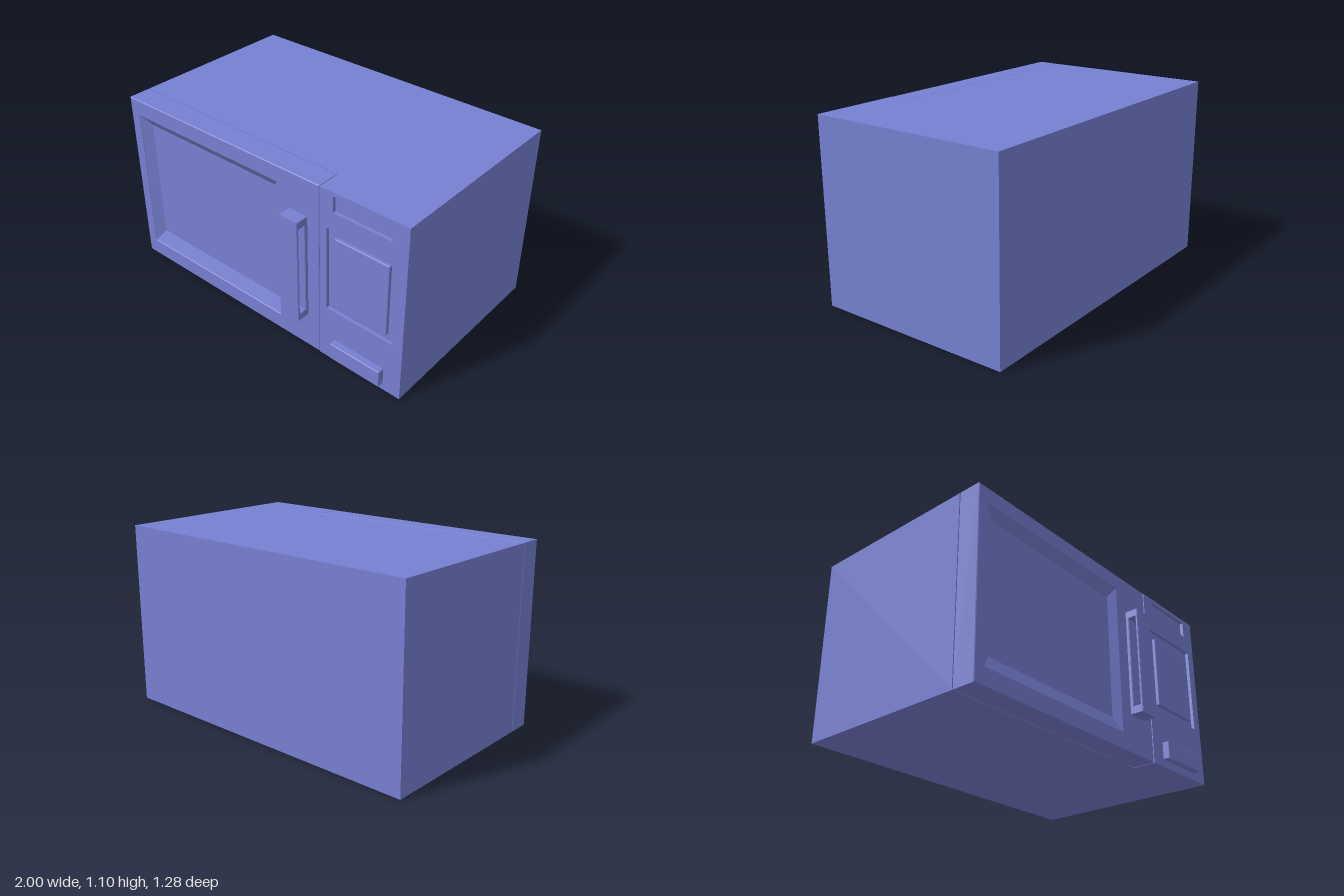
import * as THREE from 'three';
import { RoundedBoxGeometry } from 'three/addons/geometries/RoundedBoxGeometry.js';

const HEIGHT = 1.1, BACK = -0.64, FRONT = 0.56;
const DOOR_BACK = 0.42, DOOR_EDGE = 0.45;

// Rectangle corners, counter-clockwise
const corners = (x0, x1, y0, y1) => [[x0, y0], [x1, y0], [x1, y1], [x0, y1]]
  .map(([x, y]) => new THREE.Vector2(x, y));

// Rectangular plate with rectangular holes, from z0 to z1
function plate(outer, holes, z0, z1, bevel = 0) {
  const shape = new THREE.Shape(corners(...outer));
  holes.forEach((h) => shape.holes.push(new THREE.Path(corners(...h).reverse())));
  const geometry = new THREE.ExtrudeGeometry(shape, {
    depth: z1 - z0 - 2 * bevel, bevelEnabled: bevel > 0, bevelSegments: 1,
    bevelSize: bevel, bevelThickness: bevel, bevelOffset: -bevel,
  });
  return geometry.translate(0, 0, z0 + bevel);
}

// Softly rounded block given by its limits
function block(x0, x1, y0, y1, z0, z1) {
  return new RoundedBoxGeometry(x1 - x0, y1 - y0, z1 - z0, 2, 0.006)
    .translate((x0 + x1) / 2, (y0 + y1) / 2, (z0 + z1) / 2);
}

// Four sloping walls between two rectangles, facing the front
function slopedFrame(outer, zOuter, inner, zInner) {
  const a = corners(...outer).map((p) => [p.x, p.y, zOuter]);
  const b = corners(...inner).map((p) => [p.x, p.y, zInner]);
  const points = [];
  for (let i = 0; i < 4; i++) {
    const j = (i + 1) % 4;
    points.push(...a[i], ...a[j], ...b[j], ...a[i], ...b[j], ...b[i]);
  }
  const geometry = new THREE.BufferGeometry();
  geometry.setAttribute('position', new THREE.Float32BufferAttribute(points, 3));
  geometry.computeVertexNormals();
  return geometry;
}

export function createModel() {
  const model = new THREE.Group();
  model.name = 'microwaveOven';
  const material = new THREE.MeshStandardMaterial({ color: 0x7780d2 });
  const add = (name, geometry, parent = model) => {
    const mesh = new THREE.Mesh(geometry, material);
    mesh.name = name;
    parent.add(mesh);
    return mesh;
  };

  // Casing: L-shaped floor plan that leaves room for the door
  const panelBack = 0.54;
  const plan = new THREE.Shape([
    [-1, -DOOR_BACK], [DOOR_EDGE + 0.004, -DOOR_BACK], [DOOR_EDGE + 0.004, -panelBack],
    [1, -panelBack], [1, -BACK], [-1, -BACK],
  ].map(([x, y]) => new THREE.Vector2(x, y)));
  add('casing', new THREE.ExtrudeGeometry(plan, { depth: HEIGHT, bevelEnabled: false })
    .rotateX(-Math.PI / 2));

  // Control panel with recesses for the display and the keypad
  const controls = new THREE.Group();
  controls.name = 'controls';
  model.add(controls);
  const display = [0.54, 0.905, 0.98, 1.075];
  const keypadWell = [0.5, 0.94, 0.345, 0.87];
  add('controlPanel', plate([DOOR_EDGE + 0.004, 1, 0, HEIGHT], [display, keypadWell], panelBack, FRONT), controls);
  add('keypad', block(0.55, 0.895, 0.385, 0.825, 0.52, FRONT), controls);
  add('openButton', block(0.555, 0.89, 0.045, 0.15, 0.53, 0.6), controls);

  // Door frame with a sloped window recess
  const door = new THREE.Group();
  door.name = 'door';
  model.add(door);
  const opening = [-0.93, 0.155, 0.105, 1.0];
  const pane = [-0.87, 0.12, 0.185, 0.945];
  const paneZ = 0.52;
  add('doorFrame', plate([-1, DOOR_EDGE, 0, HEIGHT], [opening], DOOR_BACK + 0.002, FRONT, 0.004), door);
  add('windowBezel', slopedFrame(opening, FRONT - 0.004, pane, paneZ), door);
  add('windowPane', plate(pane, [], paneZ - 0.03, paneZ), door);

  // Handle: side profile with a slot, extruded across the width
  const handle = plate([-0.64, -FRONT + 0.01, 0.225, 0.88], [[-0.625, -0.58, 0.275, 0.83]], 0.245, 0.37, 0.004)
    .rotateY(Math.PI / 2);
  add('handle', handle, door);

  return model;
}
